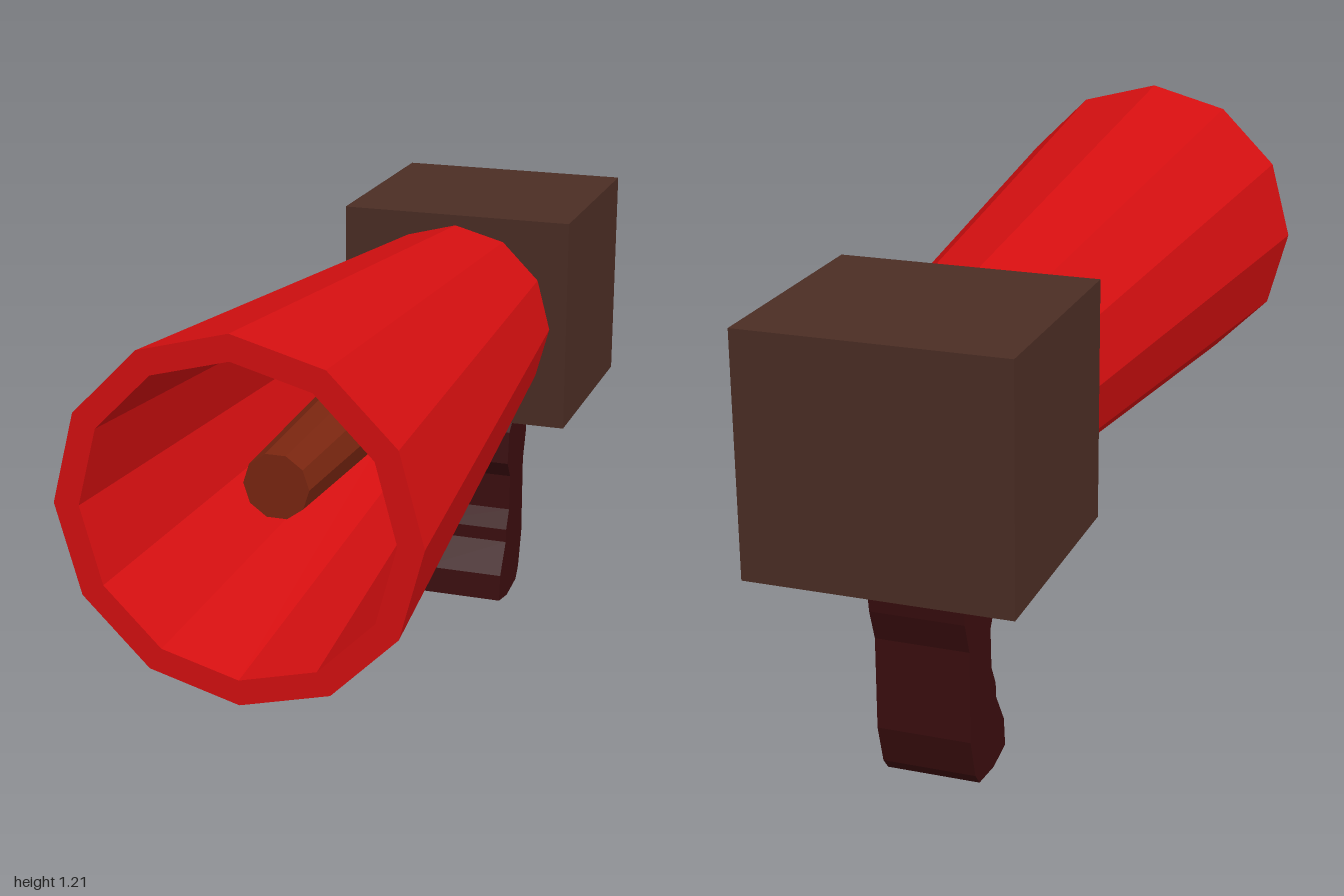
import * as THREE from 'three';

const AXIS_Y = 0.822; // height of the horn's centre line
const BACK_Z = -0.455; // where the horn meets the housing

function flat(name, color) {
  const m = new THREE.MeshStandardMaterial({ color, flatShading: true });
  m.name = name;
  return m;
}

export function createModel() {
  const group = new THREE.Group();
  const red = flat('horn red', 0xd50f10);
  const brown = flat('housing brown', 0x4b2d24);
  const maroon = flat('grip maroon', 0x3a0d0e);
  const rust = flat('core rust', 0x7a2610);

  const add = (name, geometry, material, x = 0, y = 0, z = 0) => {
    const mesh = new THREE.Mesh(geometry, material);
    mesh.name = name;
    mesh.position.set(x, y, z);
    group.add(mesh);
  };

  // Hollow twelve-sided horn: outer wall, front lip, inner wall
  const hornProfile = [[0.25, BACK_Z], [0.388, 1], [0.333, 1], [0.21, BACK_Z]]
    .map(([r, z]) => new THREE.Vector2(r, z));
  add('horn', new THREE.LatheGeometry(hornProfile, 12).rotateX(Math.PI / 2), red, 0, AXIS_Y);

  // Tapered ten-sided core inside the horn
  const coreFront = 0.78;
  const core = new THREE.CylinderGeometry(0.072, 0.117, coreFront - BACK_Z, 10)
    .rotateY(Math.PI / 2).rotateX(Math.PI / 2);
  add('core', core, rust, 0, AXIS_Y, (coreFront + BACK_Z) / 2);

  // Box housing at the back
  add('housing', new THREE.BoxGeometry(0.586, 0.536, 0.545), brown, 0, 0.83, -0.7275);

  // Grip: side outline (z, y) extruded across x
  const outline = [
    [-0.597, 0.565], [-0.605, 0.55], [-0.64, 0.53], [-0.655, 0.505], [-0.615, 0.475],
    [-0.604, 0.39], [-0.632, 0.345], [-0.628, 0.25], [-0.602, 0.2], [-0.6, 0.165],
    [-0.55, 0.085], [-0.543, 0.015], [-0.62, 0], [-0.71, 0.01], [-0.735, 0.04],
    [-0.762, 0.135], [-0.762, 0.35], [-0.788, 0.425], [-0.802, 0.52], [-0.79, 0.565],
  ].map(([z, y]) => new THREE.Vector2(z, y));
  const width = 0.215;
  const grip = new THREE.ExtrudeGeometry(new THREE.Shape(outline), { depth: width, bevelEnabled: false })
    .rotateY(-Math.PI / 2);
  add('grip', grip, maroon, width / 2);

  return group;
}
